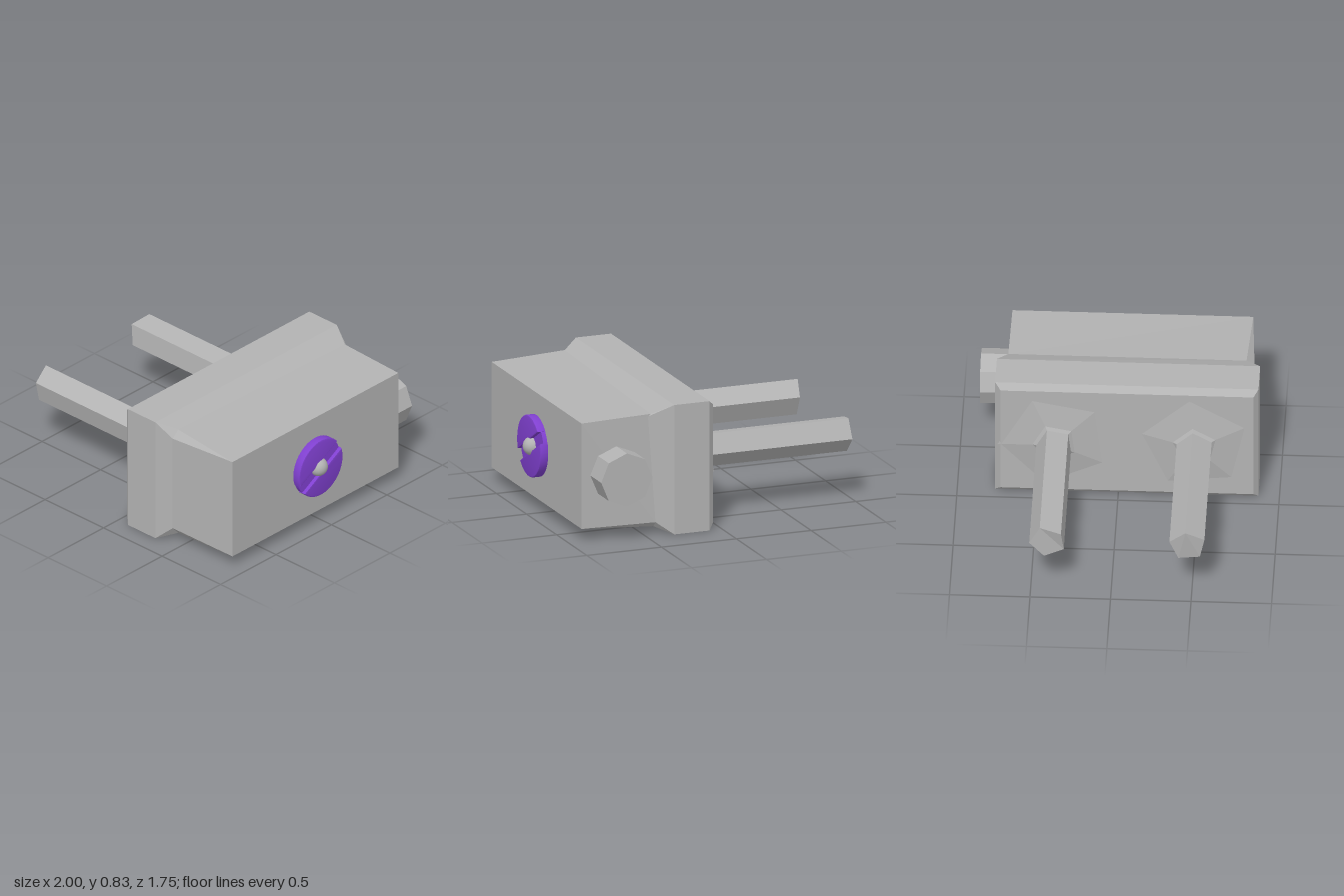
import * as THREE from 'three';
import { toCreasedNormals } from 'three/addons/utils/BufferGeometryUtils.js';

const grey = new THREE.MeshStandardMaterial({ color: 0xb2b2b2 });
grey.name = 'grey casing';
const purple = new THREE.MeshStandardMaterial({ color: 0x8040d0 });
purple.name = 'purple dial';

// Faceted skin through rings of [x, y, z] points, running towards +x, closed at both ends
function loft(rings) {
  const pos = [];
  const tri = (a, b, c) => pos.push(...a, ...b, ...c);
  const n = rings[0].length;
  for (let i = 0; i < rings.length - 1; i++) {
    for (let j = 0; j < n; j++) {
      const k = (j + 1) % n;
      const [a, b, c, d] = [rings[i][j], rings[i][k], rings[i + 1][k], rings[i + 1][j]];
      tri(a, b, c);
      tri(a, c, d);
    }
  }
  const first = rings[0], last = rings[rings.length - 1];
  for (let j = 1; j < n - 1; j++) {
    tri(first[0], first[j + 1], first[j]);
    tri(last[0], last[j], last[j + 1]);
  }
  const g = new THREE.BufferGeometry();
  g.setAttribute('position', new THREE.Float32BufferAttribute(pos, 3));
  g.computeVertexNormals();
  return g;
}

function add(parent, name, geometry, material) {
  const mesh = new THREE.Mesh(geometry, material);
  mesh.name = name;
  parent.add(mesh);
  return mesh;
}

// Rectangular ring with each corner doubled, so it can join the chamfered ring
function rectRing(x, y0, y1, z0, z1) {
  return [[y1, z1], [y0, z1], [y0, z0], [y1, z0]]
    .flatMap(([y, z]) => [[x, y, z], [x, y, z]]);
}

// Pentagonal ring around a prong axis
function pentagon(x, r, z, turn) {
  return Array.from({ length: 5 }, (_, i) => {
    const a = THREE.MathUtils.degToRad(turn - i * 72);
    return [x, 0.42 + r * Math.sin(a), z + r * Math.cos(a)];
  });
}

export function createModel() {
  const model = new THREE.Group();
  model.name = 'plug';

  // Casing: wide flange, chamfered shoulder, tapering block
  const shoulder = [
    [0.43, 0.79, 0.78], [0.43, 0.745, 0.83], [0.43, 0.1, 0.83], [0.43, 0.045, 0.78],
    [0.43, 0.045, -0.69], [0.43, 0.08, -0.725], [0.47, 0.76, -0.7], [0.45, 0.775, -0.7],
  ];
  add(model, 'casing', loft([
    rectRing(0.047, 0.04, 0.8, -0.73, 0.84),
    rectRing(0.085, 0, 0.835, -0.765, 0.87),
    rectRing(0.32, 0, 0.835, -0.765, 0.87),
    shoulder,
    rectRing(0.912, 0.08, 0.76, -0.695, 0.8),
  ]), grey);

  // Two five-sided prongs, each with one tip corner drawn out and a flared root
  for (const [name, z, turn, tip] of [['backProng', -0.392, 115, 1], ['frontProng', 0.477, 96, 0]]) {
    const end = pentagon(-0.975, 0.115, z, turn);
    end[tip][0] = -1;
    add(model, name, loft([
      end,
      pentagon(0.01, 0.115, z, turn),
      pentagon(0.022, 0.14, z, turn),
      pentagon(0.05, 0.36, z, turn),
    ]), grey);
  }

  // Eight-sided knob on the back
  const knob = new THREE.CylinderGeometry(0.172, 0.172, 0.22, 8).toNonIndexed();
  knob.computeVertexNormals();
  knob.rotateX(Math.PI / 2);
  add(model, 'knob', knob, grey).position.set(0.683, 0.42, -0.77);

  // Dial facing +x: thin base, two raised halves leaving a slanted slot, ball in the middle
  const dial = new THREE.Group();
  dial.name = 'dial';
  dial.position.set(0.9, 0.42, 0.055);
  dial.rotation.y = Math.PI / 2;
  model.add(dial);

  const base = new THREE.CylinderGeometry(0.193, 0.193, 0.04, 40);
  base.rotateX(Math.PI / 2);
  add(dial, 'dialBase', base, purple).position.z = 0.02;

  const radius = 0.196, cut = Math.asin(0.038 / radius);
  const half = new THREE.Shape().absarc(0, 0, radius, cut, Math.PI - cut, false);
  half.closePath();
  const halfGeometry = toCreasedNormals(new THREE.ExtrudeGeometry(half, {
    depth: 0.049, bevelThickness: 0.008, bevelSize: 0.008, bevelOffset: -0.008,
    bevelSegments: 2, curveSegments: 24,
  }), 0.6);
  halfGeometry.translate(0, 0, 0.008);
  for (const [name, turn] of [['upperDialHalf', Math.PI / 6], ['lowerDialHalf', Math.PI * 7 / 6]]) {
    add(dial, name, halfGeometry, purple).rotation.z = turn;
  }

  add(dial, 'dialBall', new THREE.SphereGeometry(0.06, 24, 16), grey).position.z = 0.04;

  return model;
}
